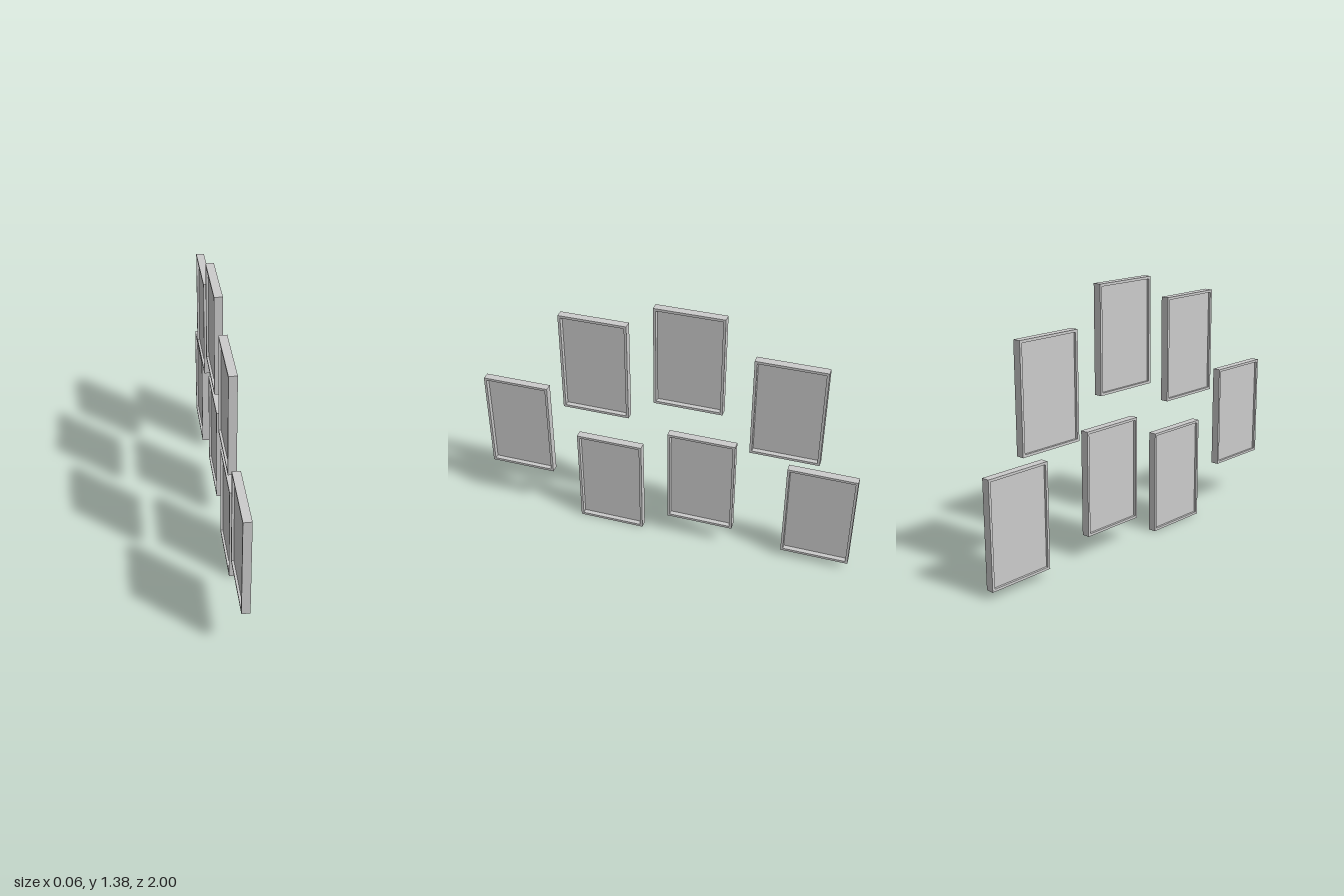
import * as THREE from 'three';

const W = 0.357, H = 0.545, D = 0.042, BORDER = 0.013;

// Rectangle path centred on the origin
function rect(path, w, h) {
  path.moveTo(-w / 2, -h / 2);
  path.lineTo(w / 2, -h / 2);
  path.lineTo(w / 2, h / 2);
  path.lineTo(-w / 2, h / 2);
  path.closePath();
  return path;
}

export function createModel() {
  const group = new THREE.Group();
  group.name = 'pictureWall';
  const material = new THREE.MeshStandardMaterial({ color: 0xcccccc, flatShading: true });

  // Rectangular frame, extruded along its depth and turned to face +x
  const w = W - 2 * BORDER, h = H - 2 * BORDER;
  const outline = rect(new THREE.Shape(), W, H);
  outline.holes.push(rect(new THREE.Path(), w, h));
  const frameGeometry = new THREE.ExtrudeGeometry(outline, { depth: D, bevelEnabled: false });
  frameGeometry.translate(0, 0, -D / 2).rotateY(Math.PI / 2);

  // Thin picture panel, recessed deeper on the +x side
  const panelGeometry = new THREE.BoxGeometry(0.004, h, w);
  panelGeometry.translate(-D / 2 + 0.014, 0, 0);

  // Centre x, bottom y, centre z of each picture
  const places = [
    [-0.004, 0.255, 0.822],
    [-0.010, 0.710, 0.377],
    [-0.013, 0.835, -0.116],
    [-0.008, 0.641, -0.620],
    [0.009, 0.000, 0.306],
    [0.007, 0.121, -0.194],
    [0.000, 0.041, -0.821],
  ];
  places.forEach(([x, y, z], i) => {
    const picture = new THREE.Group();
    picture.name = `picture${i + 1}`;
    const frame = new THREE.Mesh(frameGeometry, material);
    frame.name = 'frame';
    const panel = new THREE.Mesh(panelGeometry, material);
    panel.name = 'panel';
    picture.add(frame, panel);
    picture.position.set(x, y + H / 2, z);
    group.add(picture);
  });
  return group;
}
